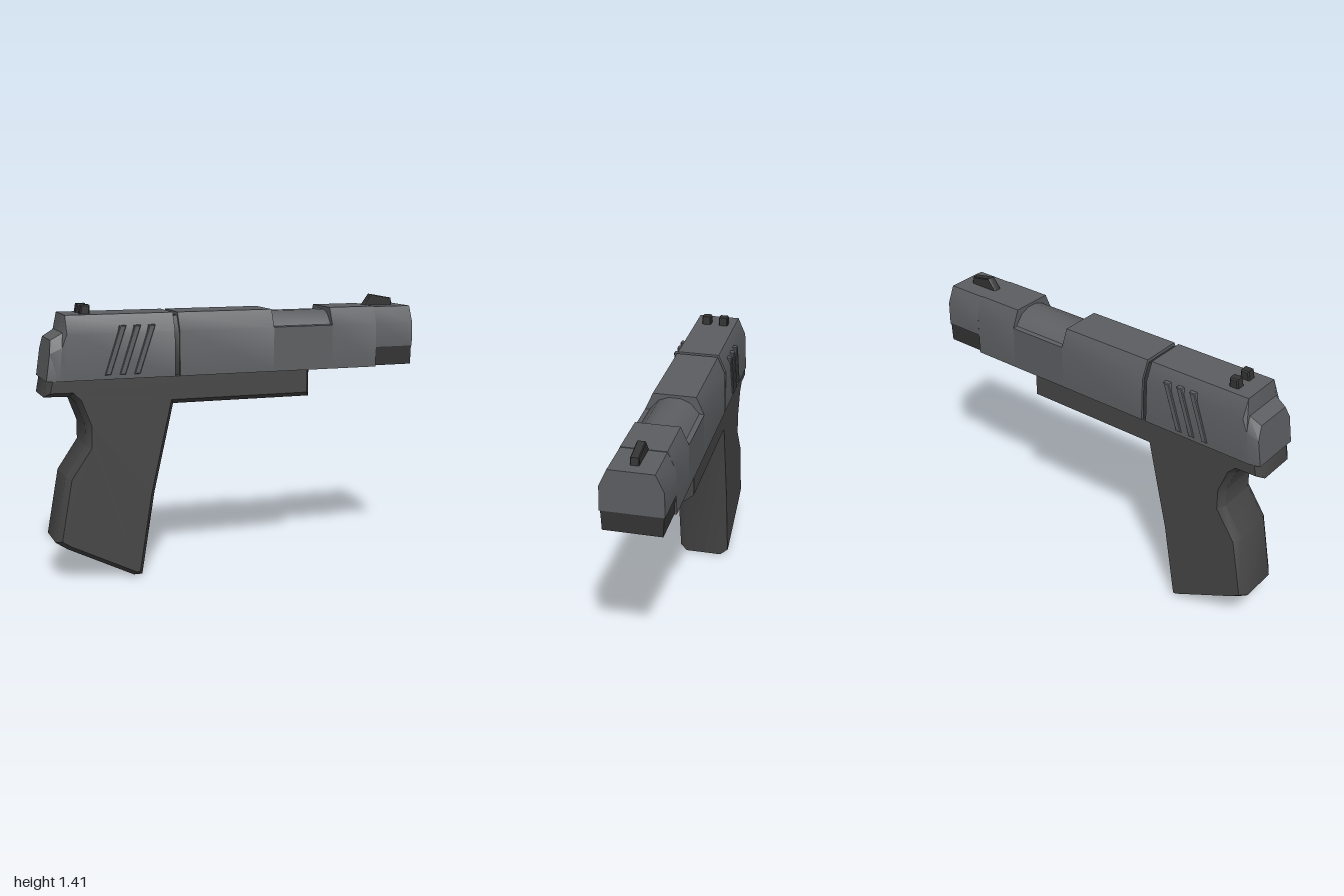
import * as THREE from 'three';
import { toCreasedNormals } from 'three/addons/utils/BufferGeometryUtils.js';

const material = (color) => new THREE.MeshStandardMaterial({ color, roughness: 0.8 });

// Ring across x: half profile of [y, z, x offset], bottom to top, mirrored in z.
function ring(x, half) {
  const side = (s) => half.map(([y, z, dx = 0]) => [x + dx, y, s * z]);
  return [...side(-1), ...side(1).reverse()];
}

// Closed skin over rings ordered by rising x.
function loft(rings, crease = 0.5) {
  const pos = [];
  const tri = (...pts) => pts.forEach((p) => pos.push(...p));
  const n = rings[0].length;
  for (let i = 0; i < rings.length - 1; i++) {
    for (let j = 0; j < n; j++) {
      const k = (j + 1) % n;
      const a = rings[i], b = rings[i + 1];
      tri(a[j], a[k], b[k]);
      tri(a[j], b[k], b[j]);
    }
  }
  const first = rings[0], last = rings[rings.length - 1];
  for (let j = 1; j < n - 1; j++) {
    tri(last[0], last[j], last[j + 1]);
    tri(first[0], first[j + 1], first[j]);
  }
  const g = new THREE.BufferGeometry();
  g.setAttribute('position', new THREE.Float32BufferAttribute(pos, 3));
  return toCreasedNormals(g, crease);
}

// Side outline in x, y given thickness in z, with optional bevelled edges.
function plate(points, depth, bevel = 0, bevelDepth = bevel) {
  const shape = new THREE.Shape(points.map(([x, y]) => new THREE.Vector2(x, y)));
  const g = new THREE.ExtrudeGeometry(shape, {
    depth: depth - 2 * bevelDepth, bevelEnabled: bevel > 0, bevelSize: bevel,
    bevelOffset: -bevel, bevelThickness: bevelDepth, bevelSegments: 1,
  });
  g.translate(0, 0, -(depth - 2 * bevelDepth) / 2);
  return toCreasedNormals(g, 0.6);
}

export function createModel() {
  const model = new THREE.Group();
  const upper = material(0x5c5e61);
  const lower = material(0x464646);
  const dark = material(0x343434);
  const add = (name, geometry, mat, parent = model) => {
    const mesh = new THREE.Mesh(geometry, mat);
    mesh.name = name;
    parent.add(mesh);
    return mesh;
  };

  // Frame and grip in one outline
  add('frameAndGrip', plate([
    [-1, 0.955], [-0.87, 0.95], [-0.84, 0.92], [-0.795, 0.8], [-0.795, 0.7],
    [-0.9, 0.545], [-0.96, 0.21], [-0.9, 0.17], [-0.555, 0], [-0.51, 0],
    [-0.44, 0.43], [-0.335, 0.89], [0.415, 0.89], [0.415, 1.06], [-0.98, 1.06],
  ], 0.284, 0.025, 0.04), lower);

  // Front slide: full section, open port, full section, raised muzzle
  const full = [[1.035, 0.152], [1.265, 0.15], [1.355, 0.11]];
  const port = [[1.035, 0.152], [1.265, 0.15], [1.268, 0.125], [1.32, 0.08], [1.34, 0.03]];
  const muzzle = [[1.14, 0.152], [1.265, 0.15], [1.352, 0.11]];
  const slide = new THREE.Group();
  slide.name = 'frontSlide';
  model.add(slide);
  [['slideBody', full, -0.31, 0.2], ['ejectionPort', port, 0.2, 0.53],
    ['slideNose', full, 0.53, 0.785], ['slideMuzzle', muzzle, 0.785, 1]].forEach(([name, half, x0, x1]) =>
    add(name, loft([ring(x0, half), ring(x1, half)]), upper, slide));
  add('muzzleBlock', loft([0.78, 0.998].map((x) => ring(x, [[1.04, 0.142], [1.145, 0.147]]))), dark);

  // Recessed seam between the two slide parts
  add('slideSeam', loft([-0.34, -0.305].map((x) =>
    ring(x, [[1.04, 0.138], [1.255, 0.138], [1.338, 0.1]]))), dark);

  // Rear slide with stepped, slanted back
  add('rearSlide', loft([
    ring(-0.96, [[1.035, 0.138, -0.03], [1.17, 0.138, -0.01], [1.235, 0.105]]),
    ring(-0.9, [[1.035, 0.152, -0.03], [1.2, 0.15, -0.01], [1.27, 0.115]]),
    ring(-0.885, [[1.035, 0.152], [1.265, 0.15], [1.355, 0.11]]),
    ring(-0.335, full),
  ]), upper);

  // Slanted grip ribs on both sides of the rear slide
  for (const x of [-0.7, -0.625, -0.55]) {
    add('slideRib', plate([
      [x, 1.057], [x + 0.03, 1.057], [x + 0.112, 1.3], [x + 0.08, 1.3],
    ], 0.318, 0.004), upper);
  }

  // Sights
  for (const z of [-0.047, 0.047]) {
    const g = plate([[-0.805, 1.34], [-0.75, 1.34], [-0.752, 1.4], [-0.795, 1.4]], 0.05, 0.006);
    add('rearSight', g, dark).position.z = z;
  }
  add('frontSight', plate([
    [0.765, 1.345], [0.94, 1.345], [0.935, 1.39], [0.815, 1.412],
  ], 0.042, 0.004), dark);

  return model;
}
